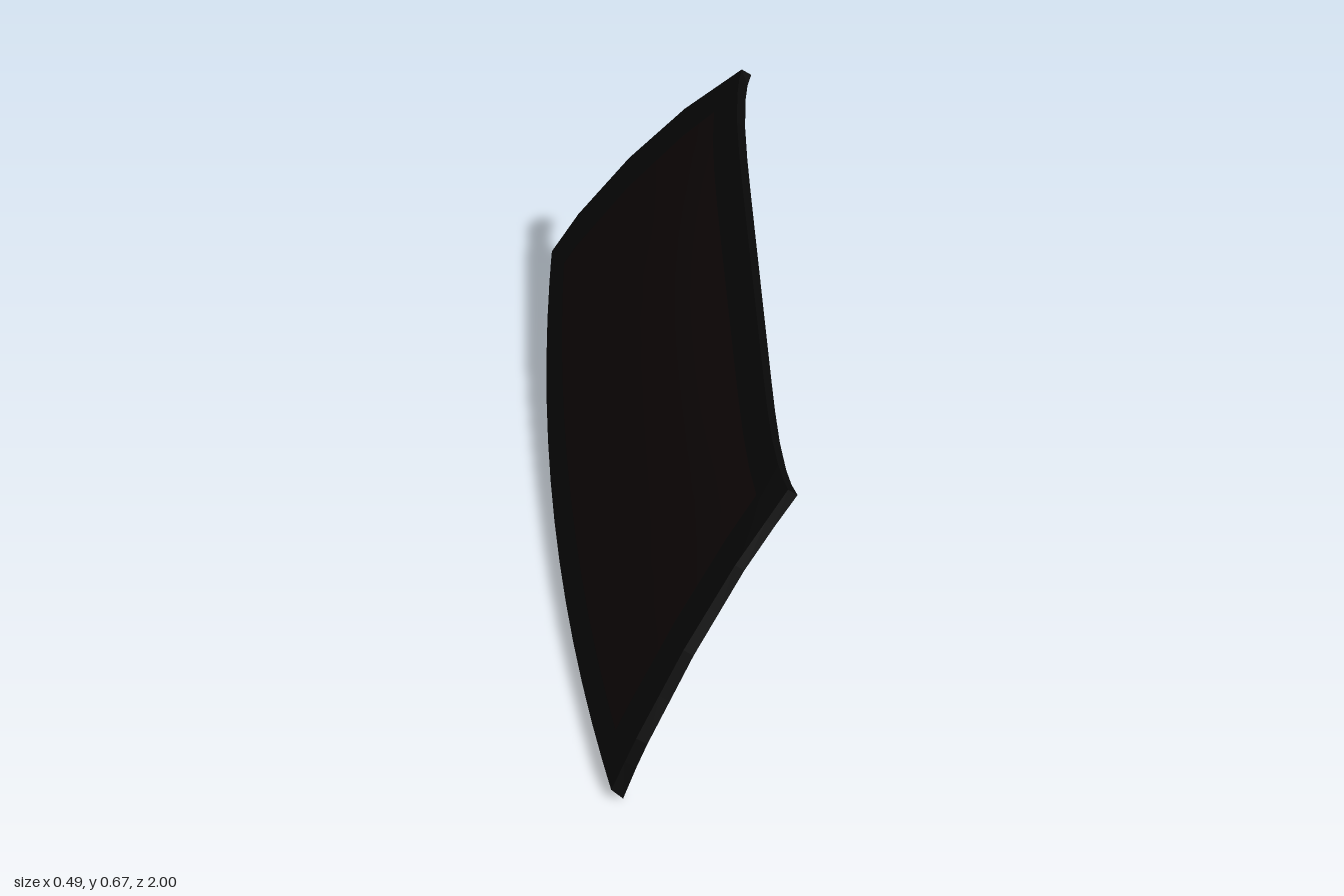
import * as THREE from 'three';

// Profile rows, bottom to top: height, centre x, half width, sweep of the ends, sharpness of that sweep
const ROWS = [
  [0.025, -0.245, 0.993, 0.060, 2.0],
  [0.145, -0.178, 0.967, 0.050, 2.1],
  [0.340, -0.062, 0.908, 0.043, 2.3],
  [0.520, 0.060, 0.842, 0.040, 2.8],
  [0.673, 0.195, 0.775, 0.027, 7.0],
];
const HEIGHTS = [0.025, 0.09, 0.145, 0.24, 0.34, 0.43, 0.52, 0.61, 0.673];
const HALF = [0.15, 0.3, 0.45, 0.6, 0.75, 0.88, 0.95, 1];
const ACROSS = [...HALF.map((u) => -u).reverse(), 0, ...HALF];
const NU = ACROSS.length, NV = HEIGHTS.length;

function rowAt(y) {
  let i = 0;
  while (i < ROWS.length - 2 && y > ROWS[i + 1][0]) i++;
  const a = ROWS[i], b = ROWS[i + 1], t = (y - a[0]) / (b[0] - a[0]);
  return a.map((value, k) => value + (b[k] - value) * t);
}

// A point of the curved pane (depth 0) or of the lip's free edge behind it (depth 1)
function point(u, y, depth) {
  const [, x, width, sweep, power] = rowAt(y);
  const up = (y - 0.025) / 0.648;
  const corner = Math.abs(u) ** 40;
  const tipDown = up === 0 ? 0.008 * corner : 0;
  const tipOut = up === 1 ? 0.003 * corner : 0;
  return [
    x + sweep * Math.abs(u) ** power + depth * (0.026 - 0.008 * up + tipOut),
    y - depth * (0.013 + 0.003 * up + tipDown),
    u * (width + depth * 0.006 * (1 - up)),
  ];
}

// The pane, split into border cells and glass cells that share smooth normals
function paneGeometries() {
  const positions = [], border = [], glass = [];
  for (const y of HEIGHTS) for (const u of ACROSS) positions.push(...point(u, y, 0));
  for (let j = 0; j < NV - 1; j++) {
    for (let i = 0; i < NU - 1; i++) {
      const a = j * NU + i, b = a + 1, d = a + NU, c = d + 1;
      const edge = j === 0 || j === NV - 2 || i < 2 || i > NU - 4;
      (edge ? border : glass).push(a, b, d, b, c, d);
    }
  }
  const whole = new THREE.BufferGeometry();
  whole.setAttribute('position', new THREE.Float32BufferAttribute(positions, 3));
  whole.setIndex([...border, ...glass]);
  whole.computeVertexNormals();
  return [border, glass].map((index) => whole.clone().setIndex(index));
}

// Narrow lip folded back all around the outline
function lipGeometry() {
  const loop = [];
  for (let i = 0; i < NU - 1; i++) loop.push([ACROSS[i], HEIGHTS[0]]);
  for (let j = 0; j < NV - 1; j++) loop.push([1, HEIGHTS[j]]);
  for (let i = NU - 1; i > 0; i--) loop.push([ACROSS[i], HEIGHTS[NV - 1]]);
  for (let j = NV - 1; j > 0; j--) loop.push([-1, HEIGHTS[j]]);
  const positions = [];
  loop.forEach(([u, y], k) => {
    const [u2, y2] = loop[(k + 1) % loop.length];
    const p = point(u, y, 0), q = point(u, y, 1);
    const p2 = point(u2, y2, 0), q2 = point(u2, y2, 1);
    positions.push(...p, ...q, ...p2, ...p2, ...q, ...q2);
  });
  const geometry = new THREE.BufferGeometry();
  geometry.setAttribute('position', new THREE.Float32BufferAttribute(positions, 3));
  geometry.computeVertexNormals();
  return geometry;
}

export function createModel() {
  const group = new THREE.Group();
  group.name = 'windshield';
  const black = new THREE.MeshStandardMaterial({ color: 0x080808, side: THREE.DoubleSide });
  const tint = new THREE.MeshStandardMaterial({ color: 0x100707, side: THREE.DoubleSide });
  const add = (name, geometry, material) => {
    const mesh = new THREE.Mesh(geometry, material);
    mesh.name = name;
    group.add(mesh);
  };

  const [border, glass] = paneGeometries();
  add('border', border, black);
  add('glass', glass, tint);
  add('lip', lipGeometry(), black);
  return group;
}
